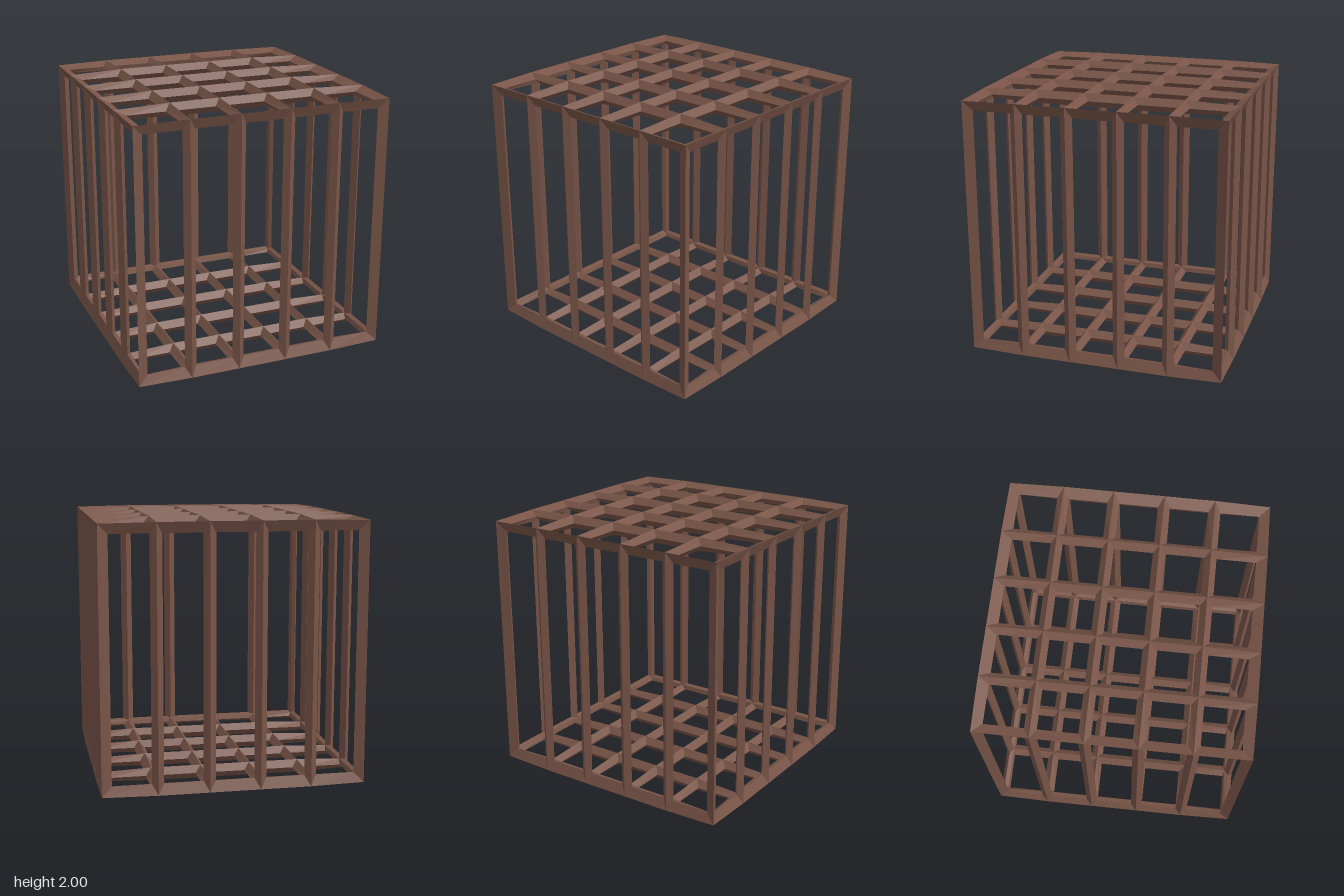
import * as THREE from 'three';

const HALF = 0.95;   // half size of the cage, measured on the bar axes
const DEPTH = 0.05;  // ridge height of a bar, in and out of its panel
const INSET = 0.045; // half width of a bar within its panel

// One face of the cage: an nu x nv lattice of diamond-section bars, mitred at the joints.
function latticePanel(name, u, v, nu, nv, material) {
  const n = u.clone().cross(v);
  const point = (a, b) => n.clone().multiplyScalar(HALF).addScaledVector(u, a).addScaledVector(v, b);
  // Ridge point pushed along the joint's normal, which is diagonal on cage edges and corners
  const ridge = (p, d) => {
    const normal = new THREE.Vector3(...p.toArray().map(c => (Math.abs(c) > HALF - 0.01 ? Math.sign(c) : 0)));
    return p.clone().addScaledVector(normal.normalize(), d);
  };
  const positions = [];
  const quad = (a, b, c, d) => [a, b, c, a, c, d].forEach(p => positions.push(p.x, p.y + 1, p.z));

  const du = 2 * HALF / nu, dv = 2 * HALF / nv;
  for (let i = 0; i < nu; i++) {
    for (let j = 0; j < nv; j++) {
      const u0 = -HALF + i * du, v0 = -HALF + j * dv;
      const cell = m => [
        point(u0 + m, v0 + m), point(u0 + du - m, v0 + m),
        point(u0 + du - m, v0 + dv - m), point(u0 + m, v0 + dv - m),
      ];
      const joints = cell(0), opening = cell(INSET);
      for (let k = 0; k < 4; k++) {
        const l = (k + 1) % 4;
        // outward and inward slopes of the half bar along this side of the opening
        quad(ridge(joints[k], DEPTH), ridge(joints[l], DEPTH), opening[l], opening[k]);
        quad(opening[k], opening[l], ridge(joints[l], -DEPTH), ridge(joints[k], -DEPTH));
      }
    }
  }
  const geometry = new THREE.BufferGeometry();
  geometry.setAttribute('position', new THREE.Float32BufferAttribute(positions, 3));
  geometry.computeVertexNormals();
  const mesh = new THREE.Mesh(geometry, material);
  mesh.name = name;
  return mesh;
}

export function createModel() {
  const group = new THREE.Group();
  group.name = 'cage';
  const material = new THREE.MeshStandardMaterial({ color: 0x795548, flatShading: true });
  const V = (x, y, z) => new THREE.Vector3(x, y, z);
  const up = V(0, 1, 0);

  // Square lattices above and below
  group.add(latticePanel('topGrid', V(0, 0, 1), V(1, 0, 0), 5, 5, material));
  group.add(latticePanel('bottomGrid', V(1, 0, 0), V(0, 0, 1), 5, 5, material));

  // Upright bars on the four sides
  group.add(latticePanel('frontBars', V(1, 0, 0), up, 5, 1, material));
  group.add(latticePanel('backBars', V(-1, 0, 0), up, 5, 1, material));
  group.add(latticePanel('leftBars', V(0, 0, -1), up, 5, 1, material));
  group.add(latticePanel('rightBars', V(0, 0, 1), up, 5, 1, material));
  return group;
}
